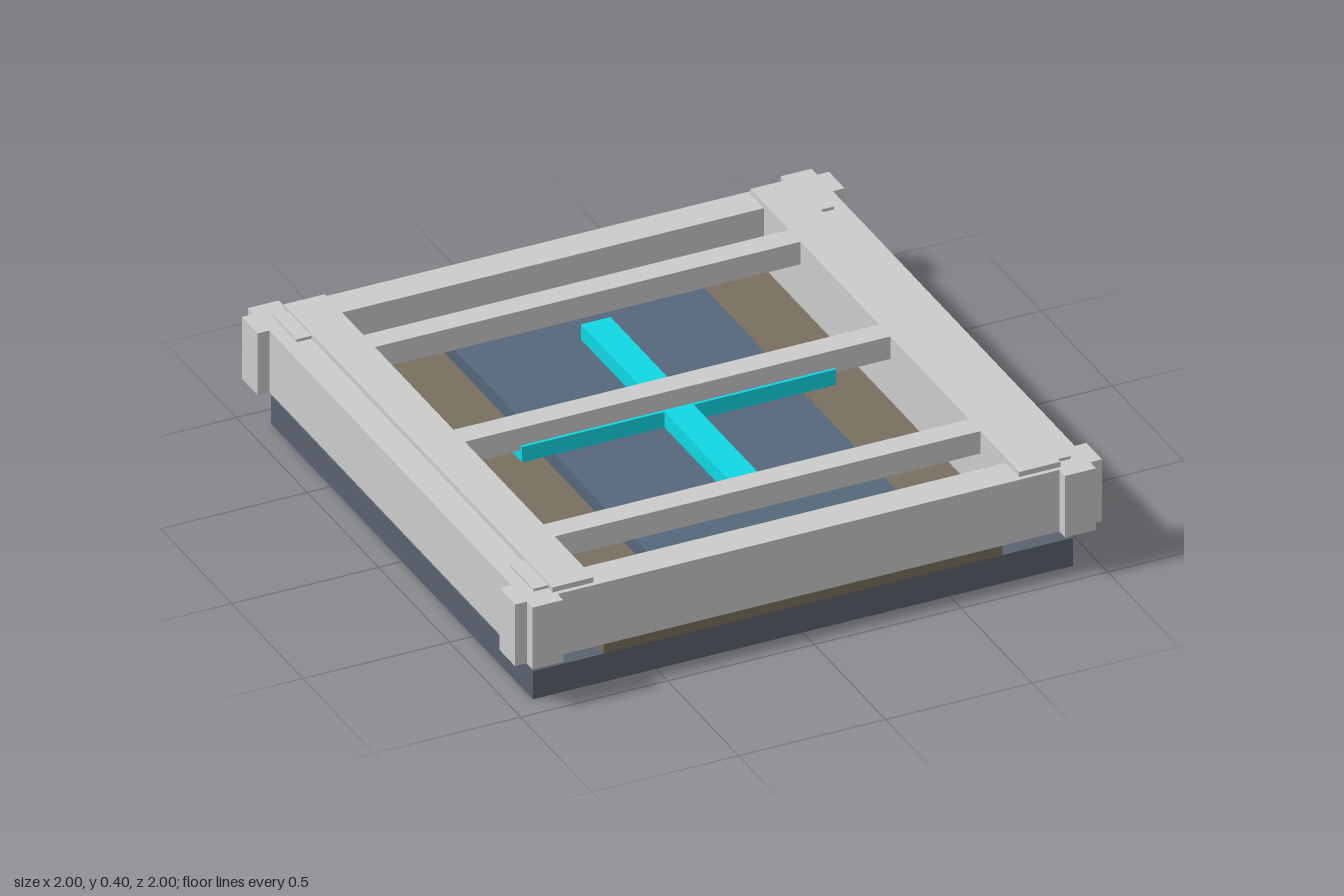
import * as THREE from 'three';

const material = (color) => new THREE.MeshStandardMaterial({ color });

export function createModel() {
  const model = new THREE.Group();
  const steel = material(0xcccccc);
  const slate = material(0x5a626e);
  const wood = material(0x7a6f60);
  const blue = material(0x55687c);
  const cyan = material(0x10d8e4);

  // Box given by its extents on each axis
  function box(name, [x0, x1], [y0, y1], [z0, z1], mat) {
    const mesh = new THREE.Mesh(new THREE.BoxGeometry(x1 - x0, y1 - y0, z1 - z0), mat);
    mesh.position.set((x0 + x1) / 2, (y0 + y1) / 2, (z0 + z1) / 2);
    mesh.name = name;
    model.add(mesh);
  }
  // Extent between two distances on one side of the centre
  const side = (s, a, b) => (s > 0 ? [a, b] : [-b, -a]);

  // Stacked slabs
  box('basePlate', [-0.92, 0.92], [0, 0.1], [-0.92, 0.92], slate);
  box('middleSlab', [-0.68, 0.68], [0.1, 0.23], [-0.92, 0.92], wood);
  box('centrePanel', [-0.425, 0.425], [0.23, 0.28], [-0.83, 0.83], blue);

  // Marker cross on the panel
  box('crossArmLong', [-0.05, 0.05], [0.28, 0.335], [-0.535, 0.535], cyan);
  box('crossArmWide', [-0.535, 0.535], [0.28, 0.335], [-0.05, 0.05], cyan);

  for (const s of [-1, 1]) {
    // Interlocking outer rails whose ends project past the corners
    box(s > 0 ? 'frontRail' : 'backRail', [-1, 1], [0.16, 0.38], side(s, 0.85, 0.96), steel);
    box(s > 0 ? 'leftRail' : 'rightRail', side(s, 0.855, 0.96), [0.16, 0.38], [-1, 1], steel);
    // Inner beams carrying the crossbars
    box(s > 0 ? 'leftBeam' : 'rightBeam', side(s, 0.725, 0.865), [0.16, 0.398], [-0.945, 0.945], steel);
    // Corner posts, slightly taller and deeper than the rails
    for (const t of [-1, 1]) {
      box('cornerPost', side(s, 0.75, 0.915), [0.15, 0.39], side(t, 0.75, 0.915), steel);
    }
  }

  // Crossbars between the beams
  for (const z of [-0.632, 0, 0.632]) {
    box('crossbar', [-0.725, 0.725], [0.318, 0.398], [z - 0.04, z + 0.04], steel);
  }
  return model;
}
